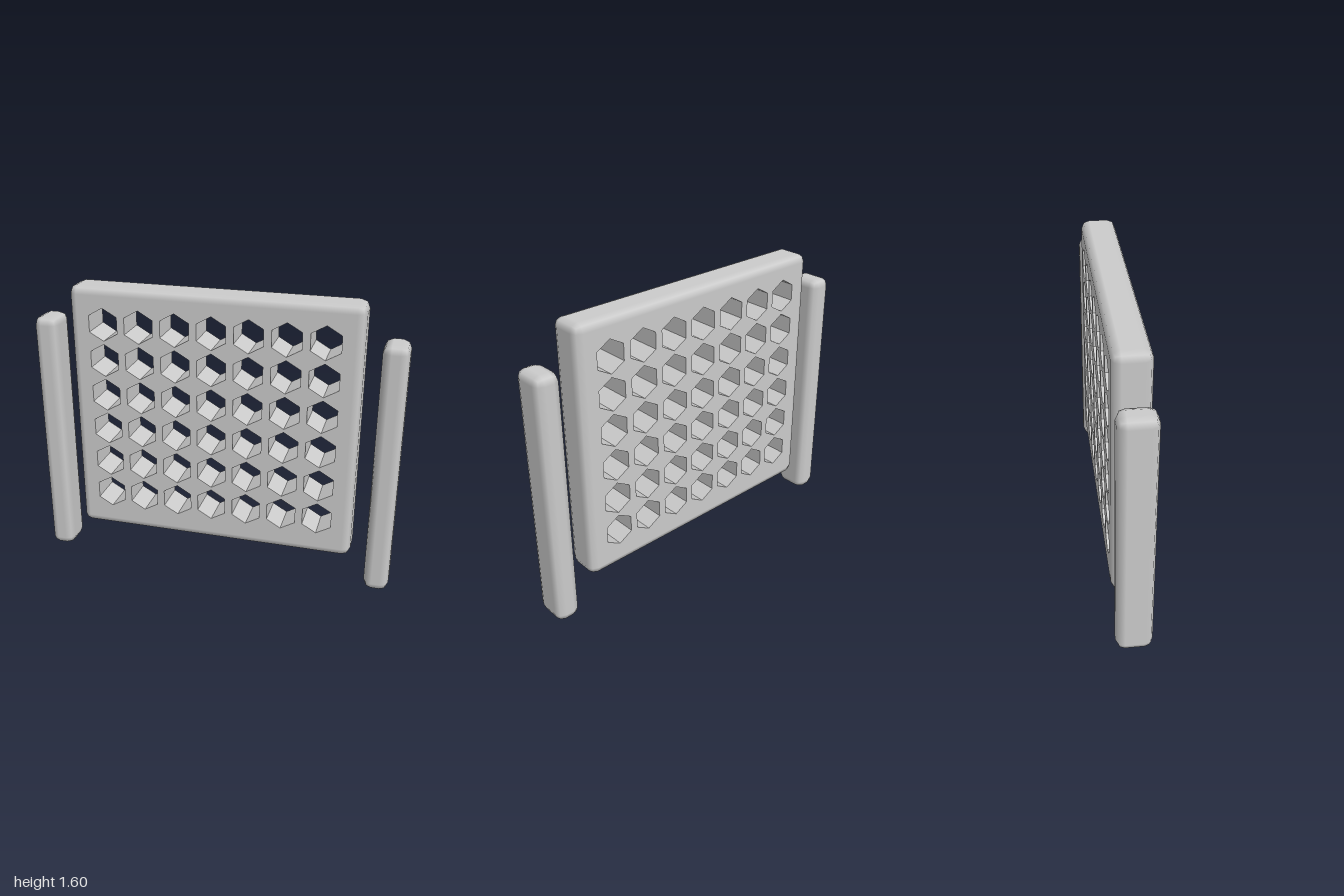
import * as THREE from 'three';
import { mergeGeometries } from 'three/addons/utils/BufferGeometryUtils.js';
import { RoundedBoxGeometry } from 'three/addons/geometries/RoundedBoxGeometry.js';

const DEPTH = 0.19, EDGE = 0.045;
const PANEL_W = 1.56, PANEL_H = 1.41, PANEL_Y = 0.895;
const COLS = 7, ROWS = 6, PITCH_X = 0.197, PITCH_Y = 0.198, HOLE_R = 0.09;
const HOLE_MID_Y = 0.01; // grid centre relative to panel centre

function holeCentres() {
  const centres = [];
  for (let c = 0; c < COLS; c++) {
    for (let r = 0; r < ROWS; r++) {
      centres.push([(c - (COLS - 1) / 2) * PITCH_X, HOLE_MID_Y + (r - (ROWS - 1) / 2) * PITCH_Y]);
    }
  }
  return centres;
}

// Rounded rim: a rounded box without its flat front and back
function rimGeometry() {
  const box = new RoundedBoxGeometry(PANEL_W, PANEL_H, DEPTH, 1, EDGE);
  const p = box.attributes.position, n = box.attributes.normal;
  const pos = [], nor = [];
  for (let i = 0; i < p.count; i += 3) {
    const corners = [i, i + 1, i + 2];
    if (corners.every((k) => Math.abs(p.getZ(k)) > DEPTH / 2 - 1e-4)) continue;
    for (const k of corners) {
      pos.push(p.getX(k), p.getY(k), p.getZ(k));
      nor.push(n.getX(k), n.getY(k), n.getZ(k));
    }
  }
  const geo = new THREE.BufferGeometry();
  geo.setAttribute('position', new THREE.Float32BufferAttribute(pos, 3));
  geo.setAttribute('normal', new THREE.Float32BufferAttribute(nor, 3));
  return geo;
}

// Flat face pierced by pointy-top hexagons
function faceGeometry(centres) {
  const x = PANEL_W / 2 - EDGE, y = PANEL_H / 2 - EDGE;
  const shape = new THREE.Shape([[-x, -y], [x, -y], [x, y], [-x, y]].map((v) => new THREE.Vector2(...v)));
  for (const [cx, cy] of centres) {
    const hex = [];
    for (let i = 0; i < 6; i++) {
      const a = Math.PI / 2 - (i * Math.PI) / 3;
      hex.push(new THREE.Vector2(cx + HOLE_R * Math.cos(a), cy + HOLE_R * Math.sin(a)));
    }
    shape.holes.push(new THREE.Path(hex));
  }
  const geo = new THREE.ShapeGeometry(shape).toNonIndexed();
  geo.deleteAttribute('uv');
  return geo;
}

// Hexagonal tube facing inwards
function holeWall(cx, cy) {
  const geo = new THREE.CylinderGeometry(HOLE_R, HOLE_R, DEPTH, 6, 1, true).toNonIndexed();
  geo.rotateX(Math.PI / 2).scale(-1, 1, 1).translate(cx, cy, 0);
  geo.deleteAttribute('uv');
  geo.computeVertexNormals();
  return geo;
}

export function createModel() {
  const model = new THREE.Group();
  const material = new THREE.MeshStandardMaterial({ color: 0xcccccc });
  const centres = holeCentres();

  // Perforated panel
  const front = faceGeometry(centres).translate(0, 0, DEPTH / 2);
  const back = faceGeometry(centres).rotateY(Math.PI).translate(0, 0, -DEPTH / 2);
  const walls = centres.map(([x, y]) => holeWall(x, y));
  const panel = new THREE.Mesh(mergeGeometries([rimGeometry(), front, back, ...walls]), material);
  panel.name = 'perforatedPanel';
  panel.position.y = PANEL_Y;
  model.add(panel);

  // Side posts, standing free of the panel
  const postGeo = new RoundedBoxGeometry(0.135, 1.41, DEPTH, 1, EDGE);
  for (const side of [-1, 1]) {
    const post = new THREE.Mesh(postGeo, material);
    post.name = side > 0 ? 'leftPost' : 'rightPost';
    post.position.set(side * 0.9325, 0.705, 0);
    model.add(post);
  }
  return model;
}
